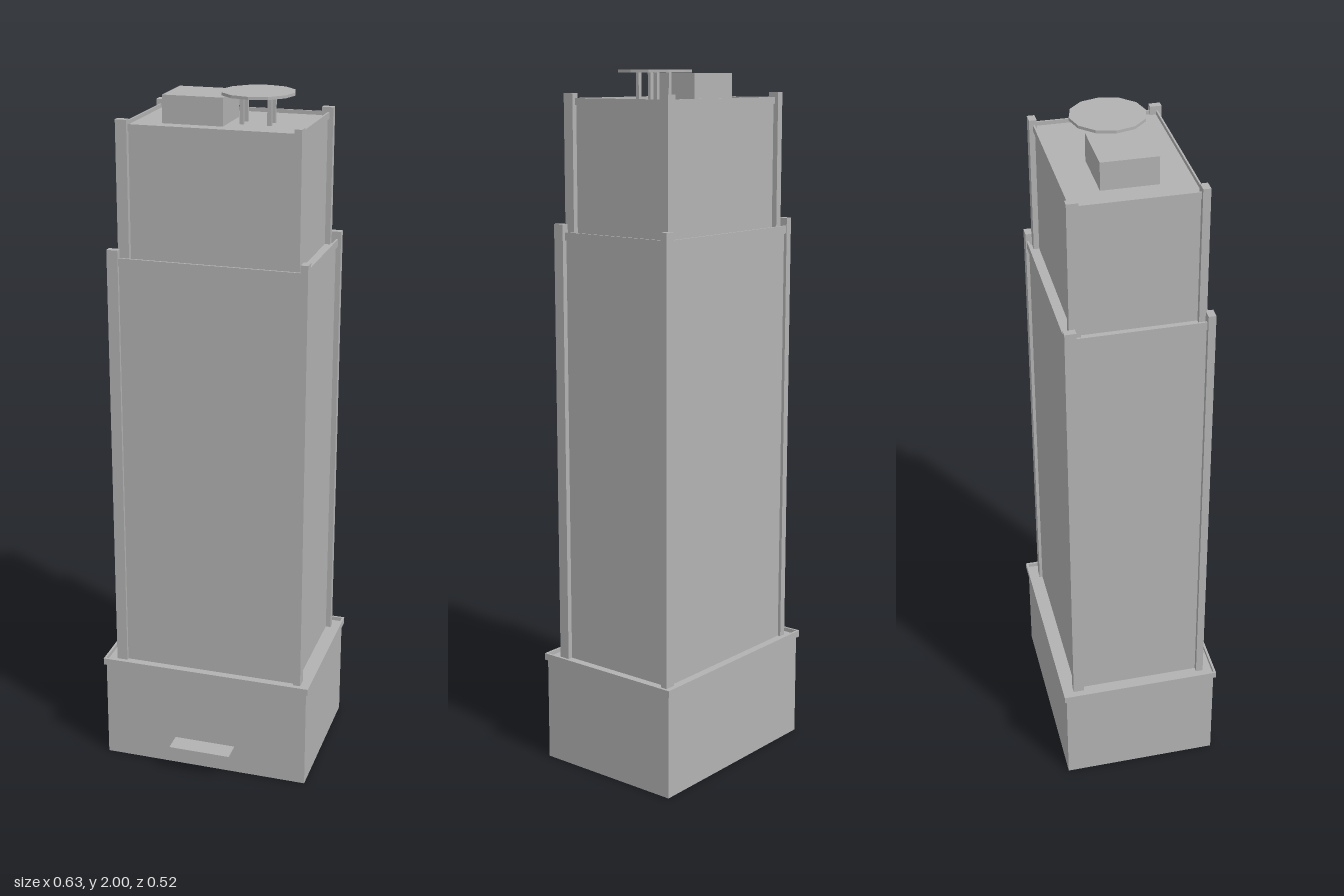
import * as THREE from 'three';

const stone = new THREE.MeshStandardMaterial({ color: 0xb2b2b2, side: THREE.DoubleSide });
stone.name = 'stone grey';

const CZ = -0.028; // depth centre of the tower

function add(parent, name, geometry, x = 0, y = 0, z = 0) {
  const mesh = new THREE.Mesh(geometry, stone);
  mesh.name = name;
  mesh.position.set(x, y, z);
  parent.add(mesh);
  return mesh;
}

// Box given by its lower and upper corners
function block(parent, name, [x0, y0, z0], [x1, y1, z1]) {
  return add(parent, name, new THREE.BoxGeometry(x1 - x0, y1 - y0, z1 - z0),
    (x0 + x1) / 2, (y0 + y1) / 2, (z0 + z1) / 2);
}

// Walls and roof with an open underside
function shell(parent, name, halfX, halfZ, y0, y1) {
  const geometry = new THREE.BoxGeometry(2 * halfX, y1 - y0, 2 * halfZ);
  const index = Array.from(geometry.index.array);
  index.splice(18, 6); // remove the bottom face
  geometry.setIndex(index);
  geometry.clearGroups();
  add(parent, name, geometry, 0, (y0 + y1) / 2, CZ);
}

// Thin rectangular frame round the top of a tier
function parapet(parent, name, halfX, halfZ, rim, y0, y1) {
  const rect = (shape, a, b) => shape.moveTo(-a, -b).lineTo(a, -b).lineTo(a, b).lineTo(-a, b).closePath();
  const shape = rect(new THREE.Shape(), halfX + rim, halfZ + rim);
  shape.holes.push(rect(new THREE.Path(), halfX, halfZ));
  const geometry = new THREE.ExtrudeGeometry(shape, { depth: y1 - y0, bevelEnabled: false });
  geometry.rotateX(-Math.PI / 2);
  add(parent, name, geometry, 0, y0, CZ);
}

// Four oblong corner piers, each turned a quarter from the last
function piers(parent, name, outX, outZ, y0, y1) {
  const long = 0.032, short = 0.021;
  for (const sx of [-1, 1]) {
    for (const sz of [-1, 1]) {
      const wide = sx !== sz;
      const w = wide ? long : short, d = wide ? short : long;
      add(parent, name, new THREE.BoxGeometry(w, y1 - y0, d),
        sx * (outX - w / 2), (y0 + y1) / 2, CZ + sz * (outZ - d / 2));
    }
  }
}

export function createModel() {
  const model = new THREE.Group();
  model.name = 'officeTower';

  // Base tier with entrance canopy
  const base = new THREE.Group();
  base.name = 'base';
  shell(base, 'baseWalls', 0.31, 0.228, 0, 0.312);
  parapet(base, 'baseParapet', 0.31, 0.228, 0.0065, 0.304, 0.324);
  block(base, 'entranceCanopy', [-0.093, 0.083, 0.2], [0.092, 0.087, 0.259]);

  // Main shaft
  const shaft = new THREE.Group();
  shaft.name = 'shaft';
  shell(shaft, 'shaftWalls', 0.27, 0.192, 0.312, 1.548);
  parapet(shaft, 'shaftParapet', 0.27, 0.192, 0.006, 1.537, 1.56);
  piers(shaft, 'shaftPier', 0.285, 0.201, 0.312, 1.582);

  // Set-back upper tier
  const crown = new THREE.Group();
  crown.name = 'crown';
  shell(crown, 'crownWalls', 0.242, 0.168, 1.548, 1.913);
  parapet(crown, 'crownParapet', 0.242, 0.168, 0.005, 1.905, 1.924);
  piers(crown, 'crownPier', 0.2575, 0.1835, 1.548, 1.937);

  // Plant room and round landing pad on legs
  const roof = new THREE.Group();
  roof.name = 'roofEquipment';
  block(roof, 'plantRoom', [-0.161, 1.913, -0.105], [0.011, 1.99, 0.049]);
  const pad = add(roof, 'landingPad', new THREE.CylinderGeometry(0.103, 0.103, 0.008, 12).toNonIndexed(), 0.088, 1.996, CZ);
  pad.geometry.computeVertexNormals();
  for (const sx of [-1, 1]) {
    for (const sz of [-1, 1]) {
      add(roof, 'padLeg', new THREE.BoxGeometry(0.012, 0.08, 0.01),
        0.088 + sx * 0.039, 1.953, CZ + 0.004 + sz * 0.021);
    }
  }

  model.add(base, shaft, crown, roof);
  return model;
}
